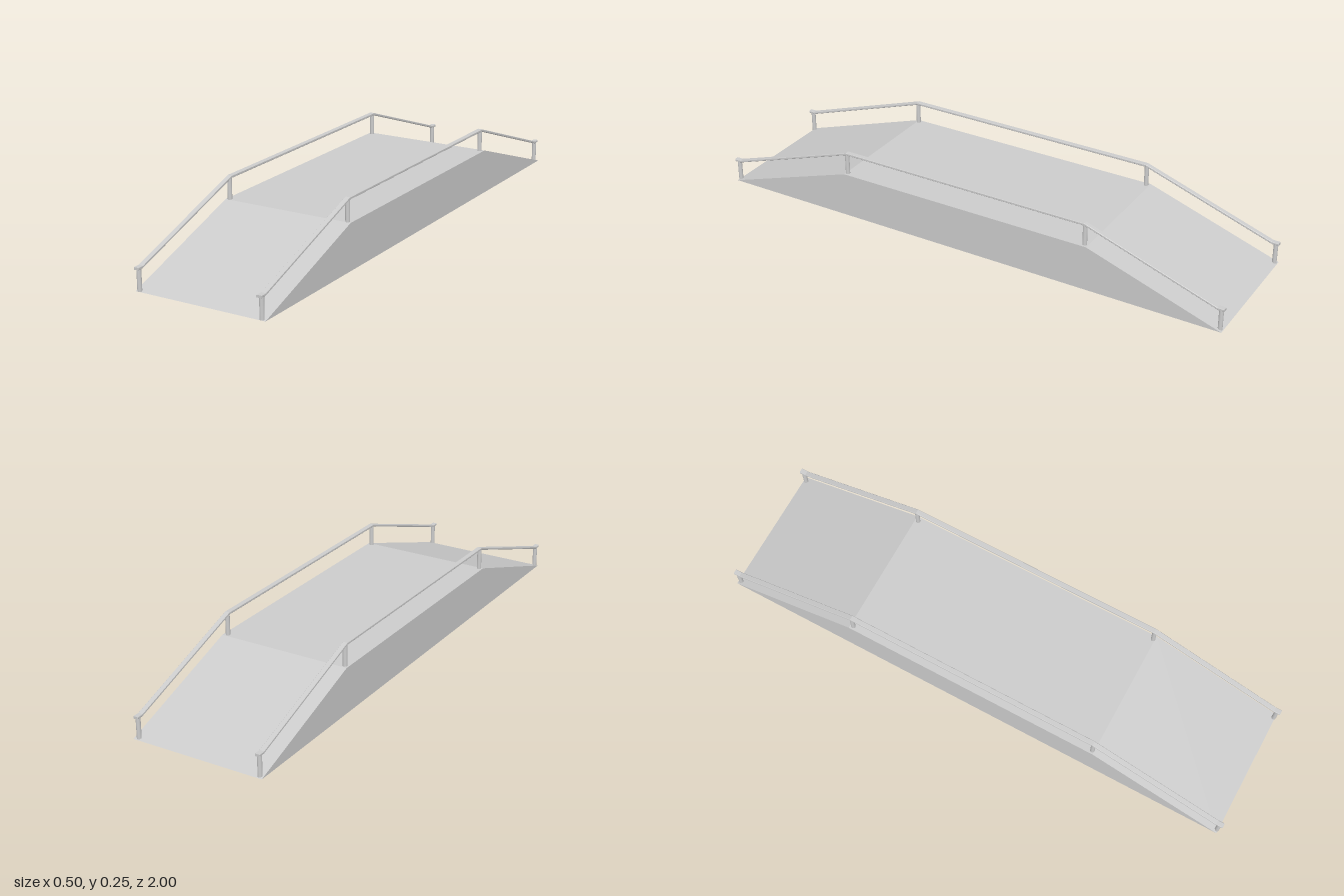
import * as THREE from 'three';

const material = new THREE.MeshStandardMaterial({ color: 0xcccccc });

// Extrudes a side profile given as [z, y] points across x, centred on x = 0.
function extrudeAcross(points, width, bevel = 0) {
  const shape = new THREE.Shape(points.map(([z, y]) => new THREE.Vector2(-z, y)));
  const depth = width - 2 * bevel;
  const geometry = new THREE.ExtrudeGeometry(shape, {
    depth, bevelEnabled: bevel > 0, bevelSize: bevel, bevelThickness: bevel,
    bevelOffset: -bevel, bevelSegments: 1,
  });
  geometry.translate(0, 0, -depth / 2);
  geometry.rotateY(Math.PI / 2);
  return geometry;
}

function addMesh(parent, name, geometry) {
  const mesh = new THREE.Mesh(geometry, material);
  mesh.name = name;
  parent.add(mesh);
  return mesh;
}

export function createModel() {
  const model = new THREE.Group();
  model.name = 'rampBridge';

  // Solid deck: a flat top with a slope at each end
  addMesh(model, 'deck', extrudeAcross(
    [[0.99, 0], [0.487, 0.168], [-0.497, 0.168], [-0.998, 0]], 0.498));

  // Centre line of the handrail, with short level ends above the end posts
  const top = [[1, 0.086], [0.975, 0.086], [0.48, 0.253],
    [-0.485, 0.253], [-0.975, 0.086], [-1, 0.086]];
  const thickness = 0.009;
  const railProfile = [...top, ...top.map(([z, y]) => [z, y - thickness]).reverse()];

  // Post positions as [z, foot, head]
  const posts = [[0.985, 0.001, 0.08], [0.48, 0.164, 0.247],
    [-0.485, 0.164, 0.247], [-0.987, 0.001, 0.08]];

  for (const [side, x] of [['left', 0.2335], ['right', -0.2355]]) {
    const railing = new THREE.Group();
    railing.name = side + 'Railing';
    railing.position.x = x;
    addMesh(railing, 'handrail', extrudeAcross(railProfile, 0.018, 0.0015));
    for (const [z, foot, head] of posts) {
      const post = addMesh(railing, 'post',
        new THREE.CylinderGeometry(0.008, 0.008, head - foot, 16));
      post.position.set(0, (foot + head) / 2, z);
    }
    model.add(railing);
  }
  return model;
}
